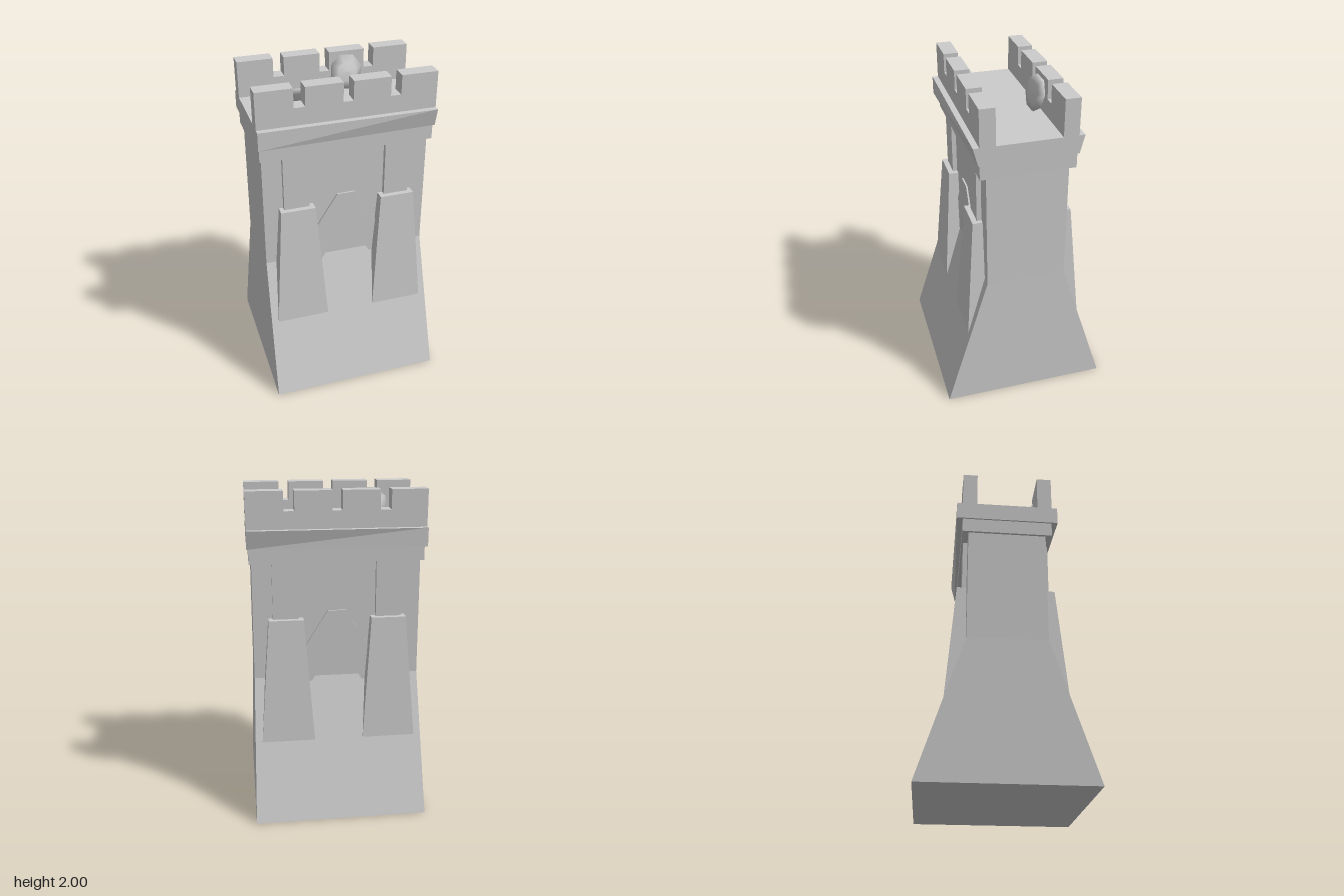
import * as THREE from 'three';

const stone = new THREE.MeshStandardMaterial({ color: 0xcccccc, flatShading: true });
const smooth = new THREE.MeshStandardMaterial({ color: 0xcccccc });

function add(parent, name, geometry, material = stone) {
  const mesh = new THREE.Mesh(geometry, material);
  mesh.name = name;
  parent.add(mesh);
  return mesh;
}

// Six-sided block between two rectangles [x0, x1, z0, z1] at heights y0 and y1
function block(y0, bottom, y1, top) {
  const geo = new THREE.BoxGeometry(1, 1, 1);
  const p = geo.attributes.position;
  for (let i = 0; i < p.count; i++) {
    const up = p.getY(i) > 0;
    const r = up ? top : bottom;
    p.setXYZ(i, r[p.getX(i) > 0 ? 1 : 0], up ? y1 : y0, r[p.getZ(i) > 0 ? 3 : 2]);
  }
  geo.computeVertexNormals();
  return geo;
}

const rect = (hx, hz) => [-hx, hx, -hz, hz];

// Flat outline in x and y, extruded from z0 to z1
function slab(points, z0, z1) {
  const shape = new THREE.Shape(points.map(([x, y]) => new THREE.Vector2(x, y)));
  return new THREE.ExtrudeGeometry(shape, { depth: z1 - z0, bevelEnabled: false }).translate(0, 0, z0);
}

// Decoration shared by the front and back faces
function createFace(name) {
  const face = new THREE.Group();
  face.name = name;
  for (const s of [-1, 1]) {
    const span = (a, b, z) => [Math.min(s * a, s * b), Math.max(s * a, s * b), 0.1, z];
    const side = s > 0 ? 'left' : 'right';
    add(face, side + 'Buttress', block(0.48, span(0.15, 0.475, 0.36), 1.24, span(0.205, 0.415, 0.3)));
    add(face, side + 'Pilaster', block(1.2, span(0.235, 0.388, 0.268), 1.6, span(0.235, 0.388, 0.268)));
  }
  // Pointed arch in low relief
  add(face, 'archRelief', slab([
    [-0.3, 0.83], [-0.155, 0.83], [0, 1.1], [0.155, 0.83], [0.3, 0.83],
    [0.2, 1.05], [0.055, 1.28], [-0.055, 1.28], [-0.2, 1.05],
  ], 0.2, 0.25));
  return face;
}

// Thin domed disc leaning along a normal
function createDisc(name, position, normal, turn) {
  const profile = [[0, -0.008], [0.06, -0.006], [0.11, 0], [0.06, 0.016], [0, 0.022]]
    .map(([r, y]) => new THREE.Vector2(r, y));
  const geo = new THREE.LatheGeometry(profile, 8);
  geo.rotateY(turn);
  const disc = new THREE.Mesh(geo, smooth);
  disc.name = name;
  disc.position.set(...position);
  disc.quaternion.setFromUnitVectors(new THREE.Vector3(0, 1, 0), new THREE.Vector3(...normal).normalize());
  return disc;
}

export function createModel() {
  const tower = new THREE.Group();
  tower.name = 'tower';

  // Splayed foot and straight shaft
  add(tower, 'splayedBase', block(0, rect(0.53, 0.51), 0.86, rect(0.508, 0.24)));
  add(tower, 'shaft', block(0.86, rect(0.508, 0.24), 1.58, rect(0.505, 0.24)));

  // Front and back relief
  const front = createFace('frontFace');
  const back = createFace('backFace');
  back.rotation.y = Math.PI;
  tower.add(front, back);

  // Cornice: lower band and wider upper band, pinched below at its left end
  add(tower, 'lowerCornice', block(1.58, rect(0.52, 0.278), 1.67, rect(0.52, 0.278)));
  const upper = block(1.67, rect(0.53, 0.315), 1.78, rect(0.53, 0.315));
  const p = upper.attributes.position;
  for (let i = 0; i < p.count; i++) {
    if (p.getX(i) > 0 && p.getY(i) < 1.7) p.setZ(i, Math.sign(p.getZ(i)) * 0.287);
  }
  upper.computeVertexNormals();
  add(tower, 'upperCornice', upper);

  // Parapets with three notches each
  const outline = [[-0.53, 1.78], [0.53, 1.78], [0.53, 2]];
  for (const [a, b] of [[0.25, 0.312], [-0.03, 0.03], [-0.315, -0.25]]) {
    outline.push([b, 2], [b, 1.885], [a, 1.885], [a, 2]);
  }
  outline.push([-0.53, 2]);
  add(tower, 'frontParapet', slab(outline, 0.19, 0.28));
  add(tower, 'backParapet', slab(outline, -0.28, -0.19));

  // Discs leaning against the inside of the parapets
  tower.add(createDisc('frontDisc', [-0.262, 1.87, 0.135], [0, 0.52, -0.85], Math.PI / 8));
  tower.add(createDisc('backDisc', [0.127, 1.88, -0.157], [0.18, 0.26, 1], Math.PI / 8));

  return tower;
}
